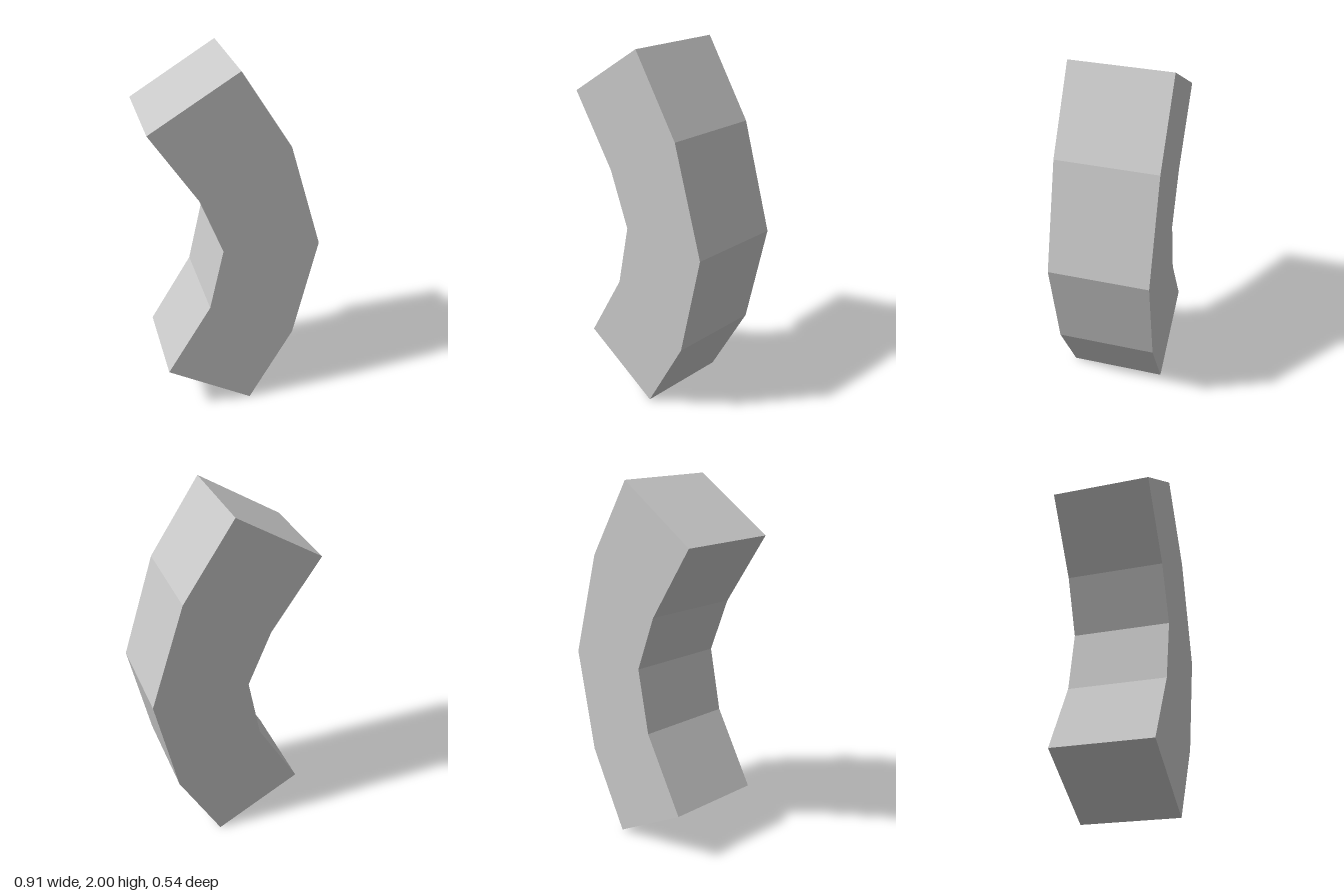
import * as THREE from 'three';

export function createModel() {
  const group = new THREE.Group();
  group.name = 'curvedBlock';
  const grey = new THREE.MeshStandardMaterial({ color: 0xc8c8c8 });
  grey.name = 'light grey';

  // Outline of the bent bar: up the outer curve, then down the inner curve
  const outline = [
    [0.08, 0], [0.325, 0.43], [0.453, 1.0], [0.277, 1.583], [0.01, 2],
    [-0.455, 1.718], [-0.197, 1.327], [-0.078, 1.022], [-0.153, 0.675], [-0.393, 0.276],
  ];
  const shape = new THREE.Shape(outline.map(([x, y]) => new THREE.Vector2(x, y)));

  // Solid bar, centred in depth, with flat facets
  const depth = 0.544;
  const geometry = new THREE.ExtrudeGeometry(shape, { depth, bevelEnabled: false });
  geometry.translate(0, 0, -depth / 2);
  const bar = new THREE.Mesh(geometry, grey);
  bar.name = 'bentBar';
  group.add(bar);
  return group;
}
